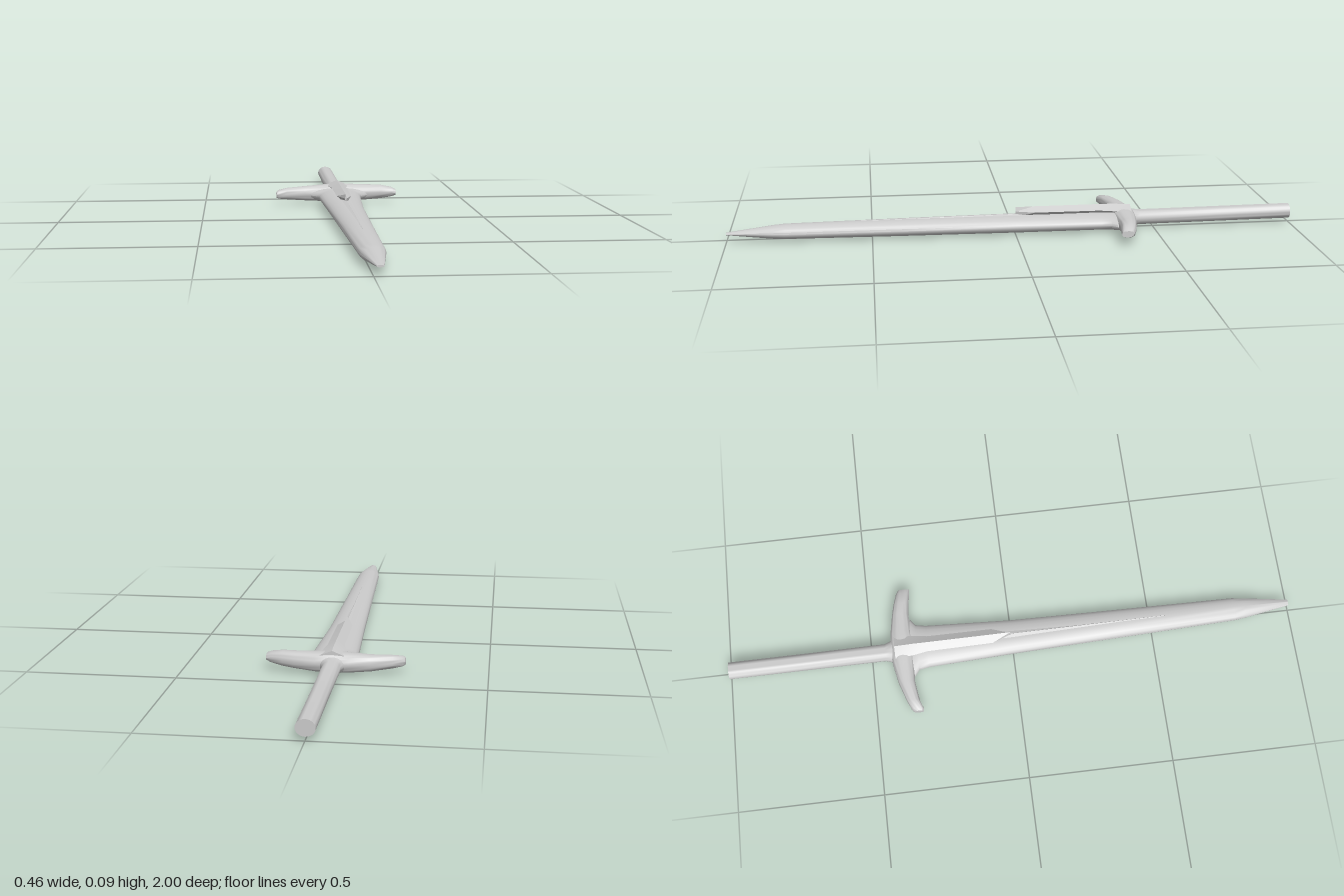
import * as THREE from 'three';
import { toCreasedNormals } from 'three/addons/utils/BufferGeometryUtils.js';

const material = new THREE.MeshStandardMaterial({ color: 0xcccccc });

// Joins equal-length rings of points into a closed skin with capped ends
function loft(name, rings, crease = 0.75) {
  const n = rings[0].length;
  const points = rings.flat();
  const index = [];
  for (let i = 0; i < rings.length - 1; i++) {
    for (let j = 0; j < n; j++) {
      const a = i * n + j, b = i * n + (j + 1) % n;
      index.push(a, b, a + n, b, b + n, a + n);
    }
  }
  const last = (rings.length - 1) * n;
  for (let j = 1; j < n - 1; j++) {
    index.push(0, j + 1, j, last, last + j, last + j + 1);
  }
  const geometry = new THREE.BufferGeometry().setFromPoints(points);
  geometry.setIndex(index);
  const mesh = new THREE.Mesh(toCreasedNormals(geometry, crease), material);
  mesh.name = name;
  return mesh;
}

// Rounded section; power below 1 makes it boxier
function oval(place, ru, rv, power = 1, sides = 24) {
  const bend = (t) => Math.sign(t) * Math.abs(t) ** power;
  return Array.from({ length: sides }, (_, i) => {
    const a = (i / sides) * Math.PI * 2;
    return place(bend(Math.cos(a)) * ru, bend(Math.sin(a)) * rv);
  });
}

// Section across the sword from its x and y limits
const across = ([z, x0, x1, y0, y1], power) => oval(
  (u, v) => new THREE.Vector3((x0 + x1) / 2 + u, (y0 + y1) / 2 + v, z),
  (x1 - x0) / 2, (y1 - y0) / 2, power);

// Section across the guard from its z and y limits
const along = ([x, z0, z1, y0, y1]) => oval(
  (u, v) => new THREE.Vector3(x, (y0 + y1) / 2 + u, (z0 + z1) / 2 + v),
  (y1 - y0) / 2, (z1 - z0) / 2, 0.8);

// Diamond section of the raised spine
const diamond = ([z, x, w, bottom, mid, top]) => [
  new THREE.Vector3(x + w, mid, z), new THREE.Vector3(x, top, z),
  new THREE.Vector3(x - w, mid, z), new THREE.Vector3(x, bottom, z)];

export function createModel() {
  const sword = new THREE.Group();
  sword.name = 'sword';

  // Blade, flared where it meets the guard and tapering to the tip
  sword.add(loft('blade', [
    [-0.39, -0.11, 0.125, 0.008, 0.062],
    [-0.352, -0.098, 0.115, 0.006, 0.062],
    [-0.335, -0.076, 0.093, 0.004, 0.062],
    [-0.30, -0.07, 0.086, 0.003, 0.062],
    [0, -0.055, 0.071, 0.0, 0.06],
    [0.4, -0.04, 0.064, 0.002, 0.059],
    [0.8, -0.025, 0.058, 0.006, 0.056],
    [0.84, -0.02, 0.053, 0.008, 0.053],
    [1, 0.008, 0.03, 0.026, 0.033],
  ].map((s) => across(s))));

  // Handle, with its flare into the guard
  sword.add(loft('handle', [
    [-1, -0.031, 0.029, 0.013, 0.066],
    [-0.74, -0.03, 0.03, 0.011, 0.064],
    [-0.45, -0.029, 0.032, 0.009, 0.062],
    [-0.43, -0.036, 0.04, 0.008, 0.064],
    [-0.40, -0.06, 0.065, 0.008, 0.066],
  ].map((s) => across(s))));

  // Cross guard, its arms swept toward the tip
  sword.add(loft('guard', [
    [-0.23, -0.368, -0.336, 0.028, 0.05],
    [-0.222, -0.376, -0.334, 0.024, 0.056],
    [-0.19, -0.39, -0.346, 0.019, 0.062],
    [-0.12, -0.413, -0.356, 0.012, 0.066],
    [-0.05, -0.427, -0.352, 0.008, 0.071],
    [0.005, -0.432, -0.345, 0.006, 0.075],
    [0.06, -0.427, -0.352, 0.008, 0.072],
    [0.13, -0.415, -0.356, 0.014, 0.07],
    [0.17, -0.406, -0.352, 0.018, 0.069],
    [0.21, -0.394, -0.346, 0.026, 0.062],
    [0.226, -0.386, -0.344, 0.032, 0.054],
  ].map(along)));

  // Raised spine from the guard down the blade, ending in a prow
  sword.add(loft('spine', [
    [-0.415, 0.004, 0.04, 0.04, 0.068, 0.084],
    [-0.35, 0.004, 0.036, 0.045, 0.07, 0.088],
    [-0.30, 0.004, 0.028, 0.05, 0.072, 0.088],
    [-0.07, 0.005, 0.026, 0.05, 0.072, 0.088],
    [-0.005, 0.006, 0.003, 0.05, 0.072, 0.087],
  ].map(diamond), 0.4));

  // Fine rib fading out along the blade
  sword.add(loft('rib', [
    [-0.1, 0.008, 0.022, 0.04, 0.057, 0.064],
    [0.55, 0.013, 0.004, 0.045, 0.055, 0.0585],
  ].map(diamond), 0.4));

  return sword;
}
